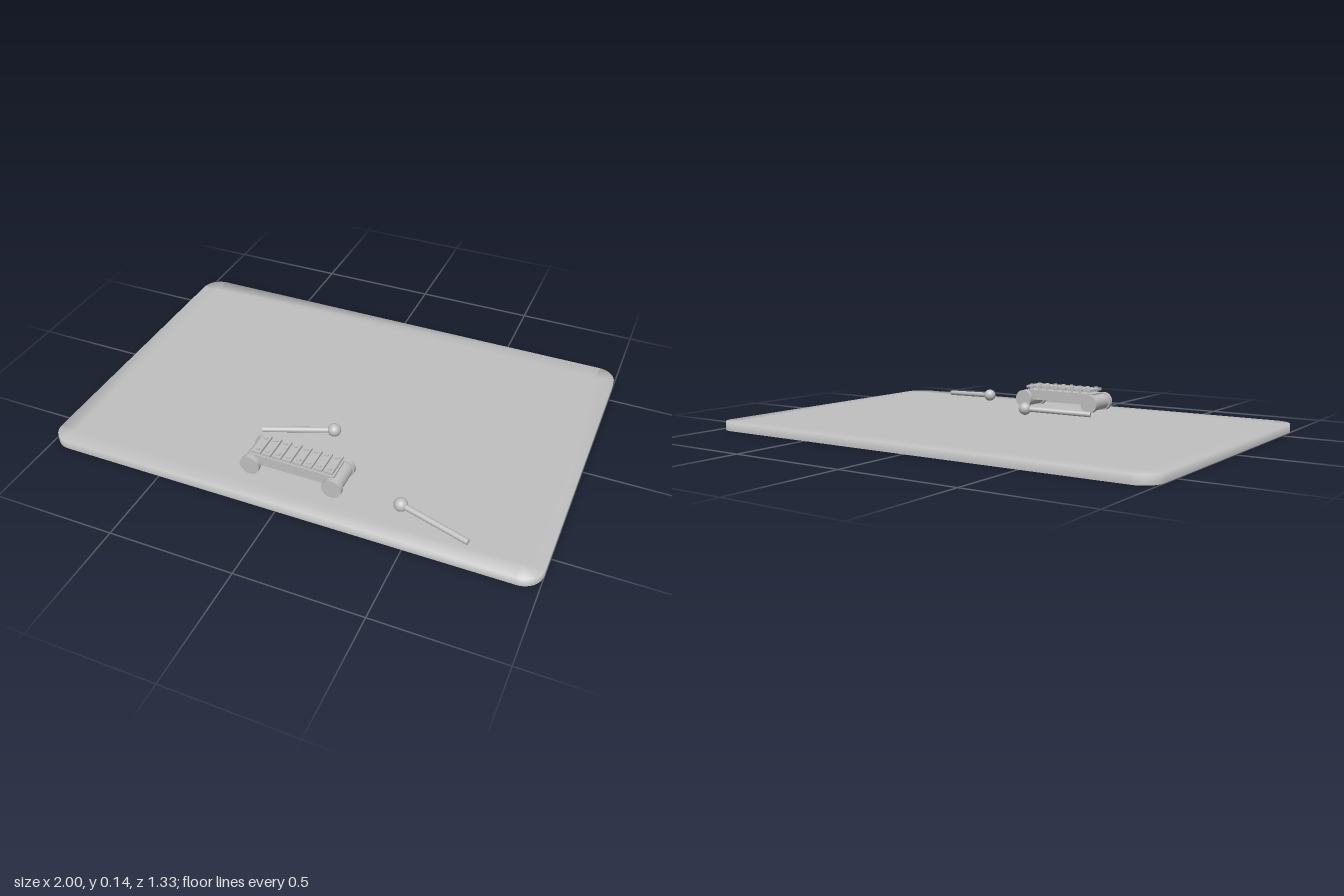
import * as THREE from 'three';

export function createModel() {
  const model = new THREE.Group();
  const grey = new THREE.MeshStandardMaterial({ color: 0xc0c0c0, side: THREE.DoubleSide });
  grey.name = 'plain grey';

  const add = (parent, name, geometry, x = 0, y = 0, z = 0) => {
    const mesh = new THREE.Mesh(geometry, grey);
    mesh.name = name;
    mesh.position.set(x, y, z);
    parent.add(mesh);
    return mesh;
  };
  const group = (name) => {
    const g = new THREE.Group();
    g.name = name;
    model.add(g);
    return g;
  };

  // Base: a rounded sheet with a short skirt, open underneath, softly shaded at the rim
  const R = 0.08, ARC = 10, HX = 1, HZ = 0.665, TOP = 0.035;
  const positions = [], indices = [];
  const rings = [[0, 0], [TOP, 0], [TOP, 0.075]]; // height, inset
  for (const [y, inset] of rings) {
    [[1, 1], [-1, 1], [-1, -1], [1, -1]].forEach(([sx, sz], corner) => {
      for (let i = 0; i <= ARC; i++) {
        const a = (corner + i / ARC) * Math.PI / 2, r = R - inset;
        positions.push(sx * (HX - R) + r * Math.cos(a), y, sz * (HZ - R) + r * Math.sin(a));
      }
    });
  }
  const n = 4 * (ARC + 1), centre = rings.length * n;
  positions.push(0, TOP, 0);
  for (let k = 0; k < rings.length; k++) {
    for (let j = 0; j < n; j++) {
      const a = k * n + j, b = k * n + (j + 1) % n;
      if (k === rings.length - 1) indices.push(a, centre, b);
      else indices.push(a, a + n, b, b, a + n, b + n);
    }
  }
  const baseGeo = new THREE.BufferGeometry();
  baseGeo.setAttribute('position', new THREE.Float32BufferAttribute(positions, 3));
  baseGeo.setIndex(indices);
  baseGeo.computeVertexNormals();
  add(model, 'base', baseGeo);

  // Xylophone: beam on two rollers with wheels
  const xylophone = group('xylophone');
  const cz = 0.475, cx = 0.006;
  add(xylophone, 'beam', new THREE.BoxGeometry(0.342, 0.045, 0.1), cx, 0.0945, cz);
  const rollerGeo = new THREE.CylinderGeometry(0.034, 0.034, 0.11, 32).rotateX(Math.PI / 2);
  const wheelGeo = new THREE.CylinderGeometry(0.04, 0.04, 0.021, 32).rotateX(Math.PI / 2);
  for (const side of [-1, 1]) {
    const x = cx + side * 0.17;
    add(xylophone, 'roller', rollerGeo, x, 0.075, cz);
    for (const end of [-1, 1]) add(xylophone, 'wheel', wheelGeo, x, 0.075, cz + end * 0.063);
  }

  // Eight sounding bars, each held by two studs
  const barGeo = new THREE.BoxGeometry(0.036, 0.011, 0.104);
  const studGeo = new THREE.CylinderGeometry(0.0045, 0.0045, 0.028, 12);
  const headGeo = new THREE.CylinderGeometry(0.0085, 0.0085, 0.005, 16);
  for (let i = 0; i < 8; i++) {
    const x = cx + (i - 3.5) * 0.0425;
    add(xylophone, 'bar', barGeo, x, 0.1305, cz);
    for (const end of [-1, 1]) {
      add(xylophone, 'stud', studGeo, x, 0.126, cz + end * 0.034);
      add(xylophone, 'studHead', headGeo, x, 0.1385, cz + end * 0.034);
    }
  }

  // Two mallets lying on the base
  const addMallet = (head, tip) => {
    const mallet = group('mallet');
    const a = new THREE.Vector3(...head), b = new THREE.Vector3(...tip);
    const dir = b.clone().sub(a);
    add(mallet, 'malletHead', new THREE.SphereGeometry(0.027, 24, 16), ...head);
    const mid = a.clone().add(b).multiplyScalar(0.5);
    const handle = add(mallet, 'malletHandle',
      new THREE.CylinderGeometry(0.0115, 0.0115, dir.length(), 20), mid.x, mid.y, mid.z);
    handle.quaternion.setFromUnitVectors(new THREE.Vector3(0, 1, 0), dir.normalize());
  };
  addMallet([0.042, 0.062, 0.21], [-0.232, 0.047, 0.302]);
  addMallet([0.437, 0.062, 0.508], [0.718, 0.047, 0.58]);

  return model;
}
